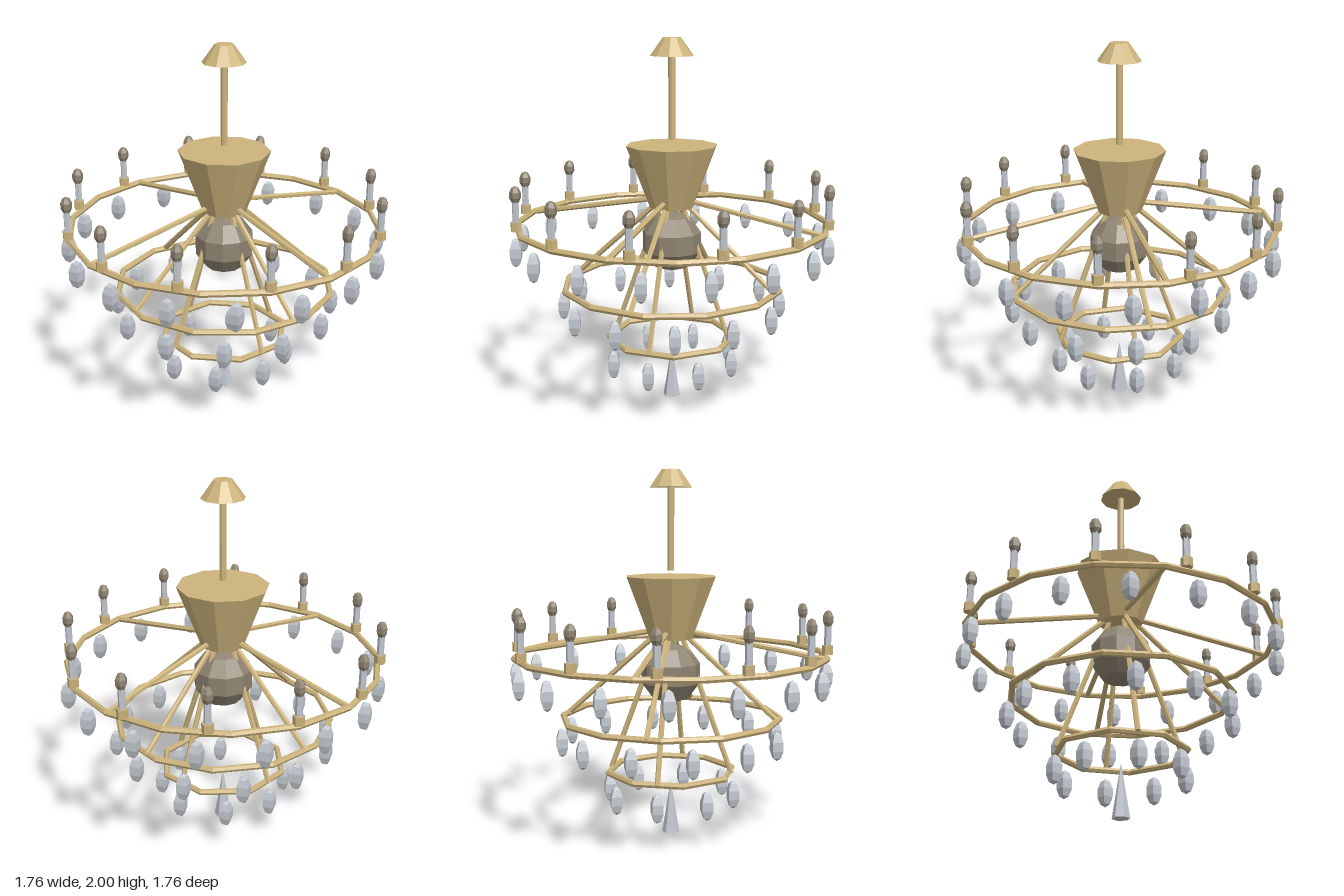
import * as THREE from 'three';

export function createModel() {
  const model = new THREE.Group();
  model.name = 'chandelier';

  const material = (name, color) => {
    const m = new THREE.MeshStandardMaterial({ color, flatShading: true });
    m.name = name;
    return m;
  };
  const gold = material('gold', 0xcdb47c);
  const bronze = material('smokedBronze', 0x8f8472);
  const crystal = material('crystal', 0xc3c9d0);

  const add = (name, geometry, mat, x = 0, y = 0, z = 0, parent = model) => {
    const mesh = new THREE.Mesh(geometry, mat);
    mesh.name = name;
    mesh.position.set(x, y, z);
    parent.add(mesh);
    return mesh;
  };
  const group = (name) => {
    const g = new THREE.Group();
    g.name = name;
    model.add(g);
    return g;
  };

  // straight bar between two points
  const bar = (name, a, b, radius, parent) => {
    const dir = b.clone().sub(a);
    const mesh = add(name, new THREE.CylinderGeometry(radius, radius, dir.length(), 6), gold, 0, 0, 0, parent);
    mesh.position.copy(a).add(b).multiplyScalar(0.5);
    mesh.quaternion.setFromUnitVectors(new THREE.Vector3(0, 1, 0), dir.normalize());
  };

  // central column
  add('ceilingCanopy', new THREE.CylinderGeometry(0.05, 0.118, 0.095, 10), gold, 0, 1.9525, 0);
  add('hangingRod', new THREE.CylinderGeometry(0.019, 0.019, 0.45, 8), gold, 0, 1.685, 0);
  add('taperedCup', new THREE.CylinderGeometry(0.25, 0.12, 0.34, 10), gold, 0, 1.26, 0);
  add('centreBall', new THREE.SphereGeometry(0.17, 10, 5), bronze, 0, 0.9, 0);
  add('bottomSpike', new THREE.ConeGeometry(0.048, 0.295, 6), crystal, 0, 0.1475, 0);

  // three tiers: ring, four arms and one hanging drop per ring side
  const dropGeometry = new THREE.SphereGeometry(0.044, 4, 5).scale(1, 0.08 / 0.044, 1);
  const tiers = [
    { name: 'upper', r: 0.85, y: 1.0, sides: 16 },
    { name: 'middle', r: 0.6, y: 0.653, sides: 12 },
    { name: 'lower', r: 0.35, y: 0.352, sides: 8 },
  ];
  for (const { name, r, y, sides } of tiers) {
    const tier = group(name + 'Tier');
    add(name + 'Ring', new THREE.TorusGeometry(r, 0.017, 6, sides).rotateX(Math.PI / 2), gold, 0, y, 0, tier);
    for (let i = 0; i < 4; i++) {
      const a = Math.PI * (3 / 8 + i / 2), c = Math.cos(a), s = Math.sin(a);
      const end = r - 0.01;
      bar(name + 'Arm', new THREE.Vector3(0.05 * c, 1.14, 0.05 * s), new THREE.Vector3(end * c, y, end * s), 0.015, tier);
    }
    for (let i = 0; i < sides; i++) {
      const a = ((i + 0.5) / sides) * Math.PI * 2;
      add(name + 'Drop', dropGeometry, crystal, r * Math.cos(a), y - 0.12, r * Math.sin(a), tier);
    }
  }

  // twelve candle lights on the upper ring
  const holderGeometry = new THREE.CylinderGeometry(0.03, 0.03, 0.05, 6);
  const stemGeometry = new THREE.CylinderGeometry(0.019, 0.019, 0.12, 6);
  const bulbGeometry = new THREE.SphereGeometry(0.032, 6, 5).scale(1, 1.5, 1);
  const lights = group('candleLights');
  for (let i = 0; i < 12; i++) {
    const a = (i / 12) * Math.PI * 2;
    const x = 0.85 * Math.cos(a), z = 0.85 * Math.sin(a);
    add('candleHolder', holderGeometry, gold, x, 1.035, z, lights);
    add('candleStem', stemGeometry, crystal, x, 1.115, z, lights);
    add('candleBulb', bulbGeometry, bronze, x, 1.203, z, lights);
  }

  return model;
}
